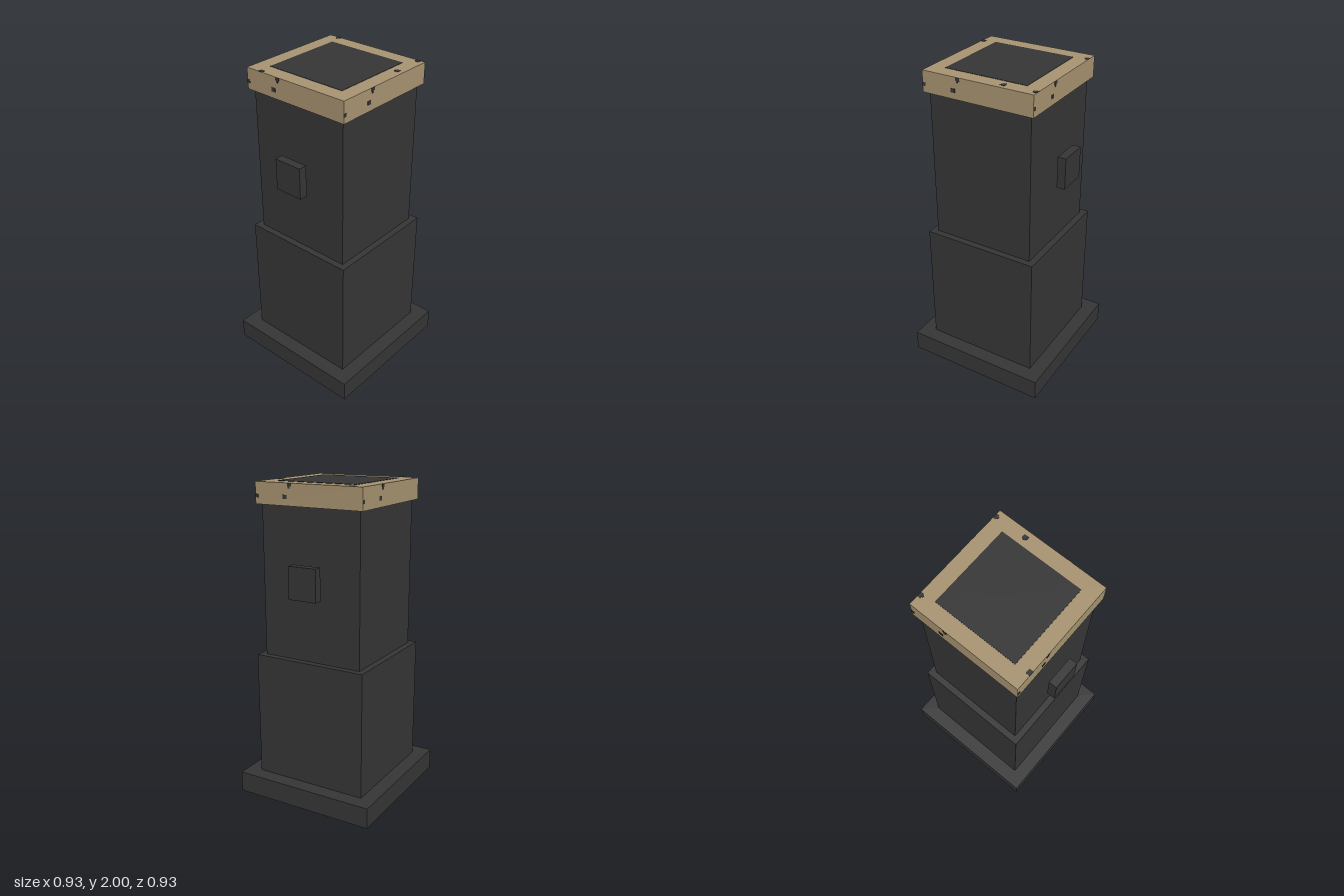
import * as THREE from 'three';

export function createModel() {
  const dark = new THREE.MeshStandardMaterial({ color: 0x353535 });
  dark.name = 'charcoal';
  const tan = new THREE.MeshStandardMaterial({ color: 0xa69270 });
  tan.name = 'tan';

  const model = new THREE.Group();
  model.name = 'pillar';

  function addBox(parent, name, mat, size, pos) {
    const mesh = new THREE.Mesh(new THREE.BoxGeometry(...size), mat);
    mesh.name = name;
    mesh.position.set(...pos);
    parent.add(mesh);
    return mesh;
  }

  // Square tiers stacked from the ground up: name, material, width, bottom, top
  const tiers = [
    ['base', dark, 0.932, 0, 0.133],
    ['lowerShaft', dark, 0.745, 0.133, 0.933],
    ['upperShaft', dark, 0.664, 0.933, 1.867],
    ['cap', tan, 0.718, 1.867, 1.998],
  ];
  for (const [name, mat, w, y0, y1] of tiers) {
    addBox(model, name, mat, [w, y1 - y0, w], [0, (y0 + y1) / 2, 0]);
  }

  // Dark panel set in the top of the cap
  addBox(model, 'topPanel', dark, [0.533, 0.004, 0.533], [0, 1.998, 0]);

  // Floating blocks on the left and right
  for (const s of [1, -1]) {
    addBox(model, s > 0 ? 'leftBlock' : 'rightBlock', dark,
      [0.053, 0.2, 0.187], [s * 0.4, 1.433, 0]);
  }

  // Small chips on each side of the cap: x, y, width, height
  const sideChips = [
    [-0.12, 1.988, 0.027, 0.018],
    [-0.122, 1.973, 0.013, 0.014],
    [-0.152, 1.918, 0.027, 0.024],
    [-0.349, 1.916, 0.02, 0.02],
  ];
  for (let i = 0; i < 4; i++) {
    const side = new THREE.Group();
    side.name = 'capSideChips';
    side.rotation.y = i * Math.PI / 2;
    for (const [x, y, w, h] of sideChips) {
      addBox(side, 'chip', dark, [w, h, 0.004], [x, y, 0.359]);
    }
    model.add(side);
  }

  // Small chips on the top of the cap: x, z, width, depth
  const topChips = [
    [-0.347, -0.252, 0.026, 0.03],
    [0.349, -0.285, 0.02, 0.03],
    [0.336, -0.284, 0.01, 0.014],
    [0.149, 0.319, 0.03, 0.024],
    [0.149, 0.304, 0.016, 0.008],
    [0.349, 0.316, 0.02, 0.03],
    [0.336, 0.316, 0.01, 0.014],
  ];
  for (const [x, z, w, d] of topChips) {
    addBox(model, 'topChip', dark, [w, 0.004, d], [x, 1.998, z]);
  }

  return model;
}
